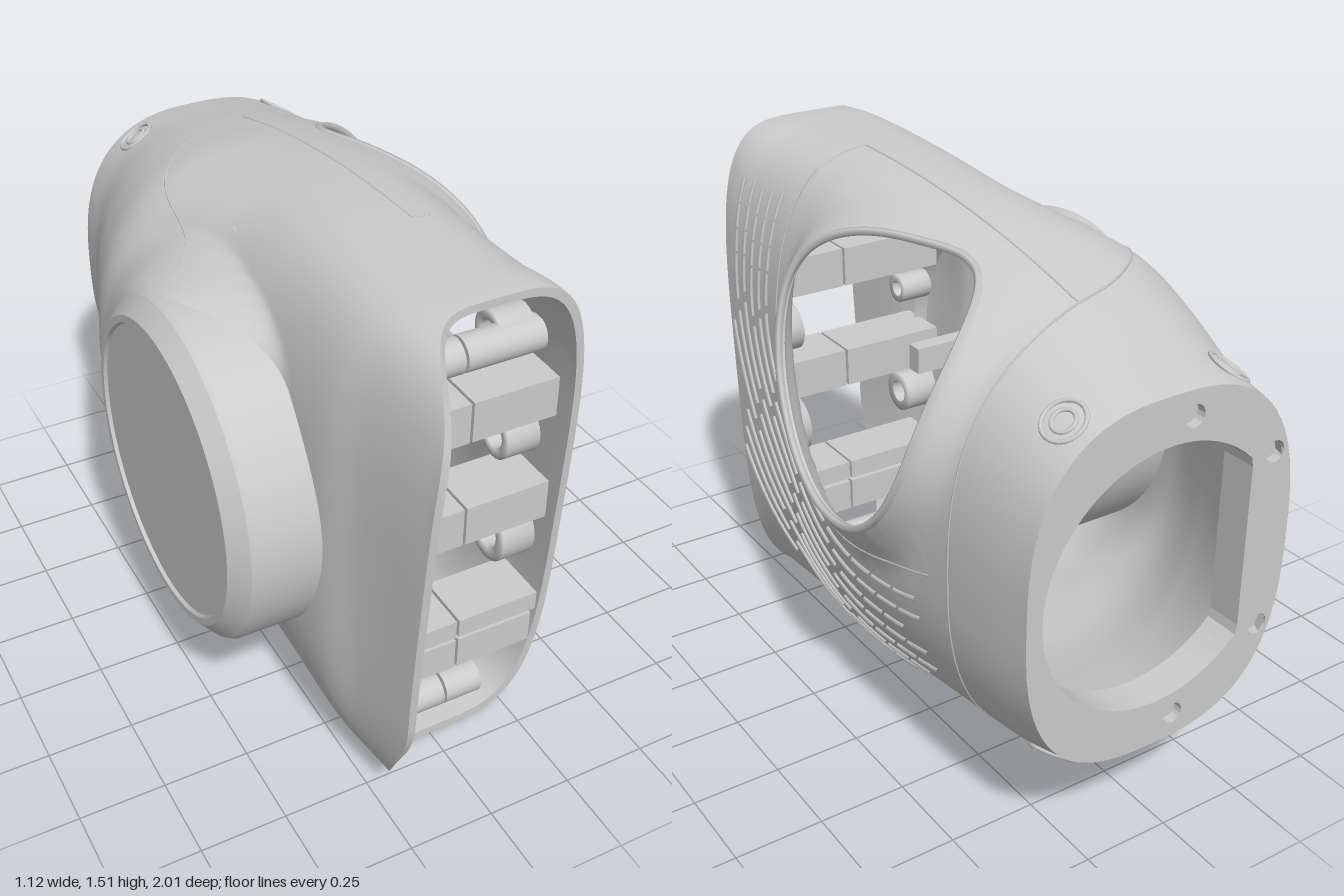
import * as THREE from 'three';

const mat = new THREE.MeshStandardMaterial({ color: 0xcccccc, roughness: 0.7 });
const matTwo = new THREE.MeshStandardMaterial({ color: 0xcccccc, roughness: 0.7, side: THREE.DoubleSide });
const smooth = THREE.MathUtils.smoothstep;
const T = 0.022; // wall thickness

// Housing cross-sections: z, xLeft, xRight, yBottom, yTop, squareness
const KEYS = [
  [-1, -0.34, 0.465, 0.29, 1.27, 2.7], [-0.85, -0.365, 0.475, 0.235, 1.31, 2.6],
  [-0.6, -0.455, 0.485, 0.17, 1.38, 2.5], [-0.4, -0.51, 0.49, 0.115, 1.43, 2.4],
  [-0.2, -0.455, 0.48, 0.07, 1.465, 2.4], [0, -0.39, 0.45, 0.04, 1.49, 2.5],
  [0.2, -0.36, 0.41, 0.02, 1.505, 2.7], [0.35, -0.345, 0.38, 0.012, 1.51, 2.9],
  [0.6, -0.325, 0.355, 0.002, 1.51, 3.4], [0.75, -0.285, 0.345, 0, 1.51, 4],
  [1, -0.25, 0.335, 0, 1.49, 4],
];
const CAP = { y: 0.78, z: 0.13 }; // centre of the round cap

function section(z, inset = 0) {
  let i = 0;
  while (i < KEYS.length - 2 && z > KEYS[i + 1][0]) i++;
  const a = KEYS[i], b = KEYS[i + 1], p = KEYS[Math.max(i - 1, 0)], q = KEYS[Math.min(i + 2, KEYS.length - 1)];
  const d = b[0] - a[0], t = THREE.MathUtils.clamp((z - a[0]) / d, 0, 1), t2 = t * t, t3 = t2 * t;
  const v = a.map((_, k) => {
    const ma = (b[k] - p[k]) / (b[0] - p[0]) * d, mb = (q[k] - a[k]) / (q[0] - a[0]) * d;
    return (2 * t3 - 3 * t2 + 1) * a[k] + (t3 - 2 * t2 + t) * ma + (3 * t2 - 2 * t3) * b[k] + (t3 - t2) * mb;
  });
  return { cx: (v[1] + v[2]) / 2, w: (v[2] - v[1]) / 2 - inset, cy: (v[3] + v[4]) / 2, h: (v[4] - v[3]) / 2 - inset, n: v[5] };
}

// Side window: flat-topped egg outline in the z-y plane
const WIN = { z: -0.19, y: 1.15, a: 0.395 };
function winDist(z, y) {
  const [b, n] = y > WIN.y ? [0.275, 2.5] : [0.425, 2.1];
  return Math.pow(Math.pow(Math.abs(z - WIN.z) / WIN.a, n) + Math.pow(Math.abs(y - WIN.y) / b, n), 1 / n);
}

// Right-hand wall position, flared around the window
function sideX(z, y, inset = 0) {
  const s = section(z, inset), t = Math.min(Math.abs(y - s.cy) / s.h, 1);
  const c = Math.pow(1 - Math.pow(t, s.n), 1 / s.n);
  return s.cx + s.w * c + 0.06 * c * (1 - smooth(winDist(z, y), 1, 1.28));
}

// How far the rear cover swells out to meet the round cap
function coverSwell(z, y) {
  const d = Math.hypot(z - CAP.z, y - CAP.y);
  const fall = 0.06 + 0.1 * (1 - smooth(z, -0.3, 0.2));
  return (1 - smooth(d, 0.47, 0.47 + fall)) * (1 - smooth(z, 0.05, 0.45));
}

function sectionPoint(z, ang, inset = 0) {
  const s = section(z, inset), c = Math.cos(ang), n = Math.sin(ang);
  const y = s.cy + s.h * Math.sign(n) * Math.pow(Math.abs(n), 2 / s.n);
  if (c > 0) return new THREE.Vector3(sideX(z, y, inset), y, z);
  const k = Math.pow(Math.abs(c), 2 / s.n), x = s.cx - s.w * k;
  const out = Math.min(x, inset - 0.525);
  return new THREE.Vector3(x + (out - x) * coverSwell(z, y) * smooth(k, 0.15, 0.6), y, z);
}

// Point on the roof (side 1) or underside (side -1)
function roofPoint(x, z, side = 1) {
  const s = section(z);
  return new THREE.Vector3(x, s.cy + side * s.h * Math.pow(1 - Math.pow(Math.abs(x - s.cx) / s.w, s.n), 1 / s.n), z);
}

// Front edge: slanted, with a long lip on the round-cap side
function frontZ(ang) {
  const s = Math.sin(ang);
  const y = 0.755 + 0.755 * Math.sign(s) * Math.pow(Math.abs(s), 0.5);
  return 0.67 + 0.07 * y + (0.26 - 0.07 * smooth(-s, 0.2, 0.7)) * smooth(-Math.cos(ang), 0, 1);
}

function wall(inset, flip) {
  const U = 144, V = 112, pts = [], inside = [], pos = [], idx = [];
  for (let j = 0; j <= V; j++) for (let i = 0; i < U; i++) {
    const ang = i / U * Math.PI * 2;
    const p = sectionPoint(-1 + j / V * (frontZ(ang) + 1), ang, inset);
    pts.push(p);
    inside.push(Math.cos(ang) > 0.001 && winDist(p.z, p.y) < 1);
  }
  for (let j = 0; j < V; j++) for (let i = 0; i < U; i++) {
    const k = (i + 1) % U, q = [j * U + i, j * U + k, (j + 1) * U + k, (j + 1) * U + i];
    if (q.every(n => inside[n])) continue;
    if (flip) q.reverse();
    idx.push(q[0], q[1], q[2], q[0], q[2], q[3]);
  }
  // Pull inner grid points onto the window outline
  pts.forEach((p, k) => {
    if (inside[k]) {
      const d = Math.max(winDist(p.z, p.y), 0.05);
      p.z = WIN.z + (p.z - WIN.z) / d;
      p.y = WIN.y + (p.y - WIN.y) / d;
      p.x = sideX(p.z, p.y, inset);
    }
    pos.push(p.x, p.y, p.z);
  });
  return indexed(pos, idx);
}

function indexed(pos, idx) {
  const g = new THREE.BufferGeometry();
  g.setAttribute('position', new THREE.Float32BufferAttribute(pos, 3));
  g.setIndex(idx);
  g.computeVertexNormals();
  return g;
}

// Closed band joining two loops of equal length
function band(a, b) {
  const n = a.length, idx = [];
  for (let i = 0; i < n; i++) {
    const k = (i + 1) % n;
    idx.push(i, k, n + k, i, n + k, n + i);
  }
  return indexed([...a, ...b].flatMap(p => [p.x, p.y, p.z]), idx);
}

const loop = (n, f) => Array.from({ length: n }, (_, i) => f(i / n * Math.PI * 2));
const line = (n, f) => Array.from({ length: n + 1 }, (_, i) => f(i / n));
const windowLoop = inset => loop(120, a => {
  const dz = Math.cos(a) * 0.3, dy = Math.sin(a) * 0.3, d = winDist(WIN.z + dz, WIN.y + dy);
  const z = WIN.z + dz / d, y = WIN.y + dy / d;
  return new THREE.Vector3(sideX(z, y, inset), y, z);
});

export function createModel() {
  const root = new THREE.Group();
  const add = (name, geo, x = 0, y = 0, z = 0, m = mat) => {
    const mesh = new THREE.Mesh(geo, m);
    mesh.name = name;
    mesh.position.set(x, y, z);
    root.add(mesh);
    return mesh;
  };
  const tube = (name, pts, r, closed = false) =>
    add(name, new THREE.TubeGeometry(new THREE.CatmullRomCurve3(pts, closed), pts.length * 2, r, 5, closed));

  // Hollow housing with its edges
  add('outerShell', wall(0, false), 0, 0, 0, matTwo);
  add('innerShell', wall(T, true), 0, 0, 0, matTwo);
  add('frontEdge', band(loop(144, a => sectionPoint(frontZ(a), a)), loop(144, a => sectionPoint(frontZ(a), a, T))), 0, 0, 0, matTwo);
  add('windowEdge', band(windowLoop(0), windowLoop(T)), 0, 0, 0, matTwo);
  tube('windowRim', windowLoop(0.003), 0.012, true);

  // Rear ring: opening with one flat side, and four screw holes
  const face = new THREE.Shape(loop(72, a => { const p = sectionPoint(-1, a); return new THREE.Vector2(p.x, p.y); }));
  face.holes.push(new THREE.Path(loop(64, a => new THREE.Vector2(Math.max(0.06 + 0.36 * Math.cos(a), -0.2), 0.78 + 0.36 * Math.sin(a)))));
  for (const [x, y] of [[0, 1.2], [-0.27, 1.03], [-0.27, 0.53], [0, 0.36]]) {
    face.holes.push(new THREE.Path(loop(16, a => new THREE.Vector2(x + 0.03 * Math.cos(a), y + 0.03 * Math.sin(a)))));
    add('screwHead', new THREE.CylinderGeometry(0.029, 0.029, 0.03, 16), x, y, -0.96).rotation.x = Math.PI / 2;
  }
  add('rearRing', new THREE.ExtrudeGeometry(face, { depth: 0.1, bevelEnabled: false }), 0, 0, -1);

  // Screw recesses above and below the neck, lying flat on the surface
  for (const x of [-0.18, 0.31]) for (const side of [1, -1]) {
    const p = roofPoint(x, -0.91, side);
    const dx = roofPoint(x + 0.05, -0.91, side).sub(roofPoint(x - 0.05, -0.91, side));
    const dz = roofPoint(x, -0.86, side).sub(roofPoint(x, -0.96, side));
    const seat = new THREE.Group();
    seat.name = 'screwRecess';
    seat.position.copy(p);
    seat.quaternion.setFromUnitVectors(new THREE.Vector3(0, 0, 1), dz.cross(dx).multiplyScalar(side).normalize());
    for (const r of [0.055, 0.03]) seat.add(new THREE.Mesh(new THREE.TorusGeometry(r, 0.006, 8, 28), mat));
    root.add(seat);
  }

  // Round cap on the blind side
  const profile = [[0.492, 0.25], [0.492, 0.5], [0.485, 0.515], [0.485, 0.515], [0.435, 0.56], [0.435, 0.56], [0.415, 0.56], [0.415, 0.56], [0.41, 0.55], [0.41, 0.55], [0, 0.55]];
  add('roundCap', new THREE.LatheGeometry(profile.map(p => new THREE.Vector2(...p)), 72), 0, CAP.y, CAP.z, matTwo).rotation.z = Math.PI / 2;

  // Dashed grip ribs sweeping round the window
  const ribPoint = (i, s) => {
    const rz = 0.6 + 0.055 * i, ry = 0.53 + 0.06 * i;
    let z, y;
    if (s < 0) { z = -0.15 + rz; y = 1.1 - s * 0.28; }
    else if (s <= 1) { z = -0.15 + rz * Math.cos(s * Math.PI / 2); y = 1.1 - ry * Math.sin(s * Math.PI / 2); }
    else { z = -0.15 - (s - 1) * 0.43; y = 1.1 - ry + 0.07 * (s - 1) ** 2; }
    return new THREE.Vector3(sideX(z, y) + 0.002, y, z);
  };
  for (let i = 0; i < 9; i++) for (let k = 0; k < 11; k++) {
    const s0 = -1 + k * 0.27 + (i % 3) * 0.03, pts = line(6, t => ribPoint(i, s0 + 0.24 * t));
    if (pts.every(p => p.z < 0.71 && p.z > -0.6 && p.y > 0.13) && s0 < 1.75 - Math.max(0, i - 4) * 0.2) tube('gripRib', pts, 0.007);
  }

  // Seams between the shell panels
  tube('panelSeam', line(40, t => ribPoint(-1.4, -1.3 + t * 3.4)), 0.003);
  tube('coverSeam', line(70, t => {
    const a = (t * 2 - 1) * 2.5;
    return sectionPoint(-0.7 + 0.75 * Math.pow(Math.abs(a) / 2.5, 5), a);
  }), 0.003);
  tube('roofSeam', line(24, t => roofPoint(0.065, -0.64 + t)), 0.003);
  tube('roofSeam', line(12, t => roofPoint(0.065 + 0.2 * t, 0.36)), 0.003);

  // Free width inside the housing at a given height
  const innerSpan = (y, z) => {
    const s = section(z, T), c = s.w * Math.pow(1 - Math.pow(Math.min(Math.abs(y - s.cy) / s.h, 1), s.n), 1 / s.n);
    return [Math.max(s.cx - c, -0.27), Math.min(s.cx + c, 0.32)];
  };

  // Split cross bars behind the front opening: y, height, round or square
  for (const [y, h, round] of [[1.42, 0.1, true], [1.245, 0.1, true], [1.09, 0.12], [0.755, 0.12], [0.39, 0.06], [0.3, 0.1], [0.09, 0.1, true]]) {
    const [l, r] = innerSpan(y + Math.sign(y - 0.755) * h * 0.45, 0.64);
    for (const [a, b] of [[l, 0.06], [0.068, r]]) {
      const geo = round ? new THREE.CylinderGeometry(h / 2, h / 2, b - a, 24).rotateZ(Math.PI / 2) : new THREE.BoxGeometry(b - a, h, 0.17);
      add('crossBar', geo, (a + b) / 2, y, 0.6);
    }
  }

  // Hollow screw posts on both inner walls: x, y, radius
  const post = r => new THREE.LatheGeometry([[r * 0.55, -0.05], [r, -0.05], [r, 0.05], [r * 0.55, 0.05], [r * 0.55, -0.05]].map(p => new THREE.Vector2(...p)), 28);
  for (const [x, y, r] of [[-0.21, 1.25, 0.085], [-0.2, 0.96, 0.045], [-0.2, 0.6, 0.065], [-0.21, 0.25, 0.085], [0.27, 0.92, 0.07], [0.27, 0.59, 0.09], [0.23, 1.25, 0.065], [0.23, 0.25, 0.075]])
    add('screwPost', post(r), x, y, 0.56, matTwo).rotation.z = Math.PI / 2;

  // Mounting plates seen through the window
  add('mountPlate', new THREE.BoxGeometry(0.03, 0.45, 0.3), -0.23, 1.07, 0.02);
  add('mountPlateSide', new THREE.BoxGeometry(0.04, 0.38, 0.2), -0.24, 1.12, -0.24);
  add('mountPlateEnd', new THREE.CylinderGeometry(0.1, 0.1, 0.03, 32), -0.23, 0.85, -0.03).rotation.z = Math.PI / 2;
  add('windowPost', post(0.045), -0.2, 1.33, -0.02, matTwo).rotation.z = Math.PI / 2;
  add('sideTab', new THREE.BoxGeometry(0.34, 0.08, 0.05), -0.17, 0.88, 0.22);
  return root;
}
